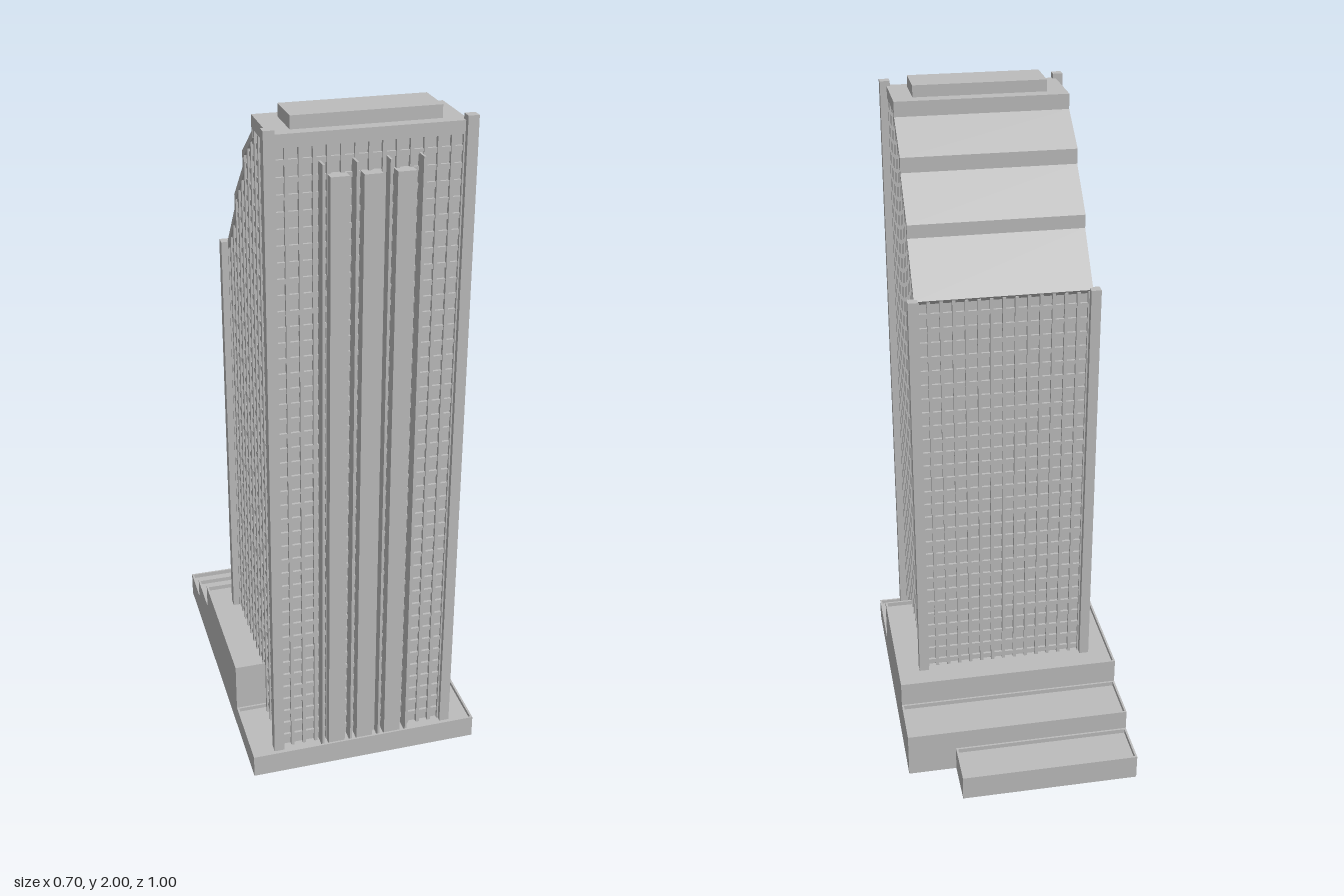
import * as THREE from 'three';
import { mergeGeometries } from 'three/addons/utils/BufferGeometryUtils.js';

// box given by its limits on each axis
function box(x0, x1, y0, y1, z0, z1) {
  return new THREE.BoxGeometry(x1 - x0, y1 - y0, z1 - z0)
    .translate((x0 + x1) / 2, (y0 + y1) / 2, (z0 + z1) / 2);
}

// side outline (z, y) extruded across x, centred
function across(points, width) {
  const shape = new THREE.Shape(points.map(([z, y]) => new THREE.Vector2(z, y)));
  return new THREE.ExtrudeGeometry(shape, { depth: width, bevelEnabled: false })
    .rotateY(-Math.PI / 2).translate(width / 2, 0, 0);
}

// hollow terrace: thin outer walls rising as a parapet around a roof slab
function terrace(x0, x1, z0, z1, h, lip = 0.014, t = 0.006) {
  return [
    box(x0, x0 + t, 0, h, z0, z1), box(x1 - t, x1, 0, h, z0, z1),
    box(x0 + t, x1 - t, 0, h, z0, z0 + t), box(x0 + t, x1 - t, 0, h, z1 - t, z1),
    box(x0 + t, x1 - t, h - lip - 0.008, h - lip, z0 + t, z1 - t),
  ];
}

const X = 0.26, FRONT = 0.46, BACK = -0.1, ROOF = 1.965, BASE = 0.05;
const INSET = 0.012;
// stepped, sloping crown from the flat roof down to the back wall
const crown = [[0.26, ROOF], [0.26, 1.92], [0.14, 1.835], [0.14, 1.79],
  [0.02, 1.675], [0.02, 1.635], [BACK, 1.49]];

// height of the crown above a given z
function topAt(z) {
  if (z >= 0.26) return ROOF;
  for (let i = 1; i < crown.length - 1; i += 2) {
    const [za, ya] = crown[i], [zb, yb] = crown[i + 1];
    if (z >= zb) return yb + (ya - yb) * (z - zb) / (za - zb);
  }
  return 1.49;
}

// rearmost z that is still under the crown at height y
function rearAt(y) {
  let z = FRONT;
  while (z - 0.004 >= BACK && topAt(z - 0.004) > y) z -= 0.004;
  return z;
}

export function createModel() {
  const model = new THREE.Group();
  model.name = 'officeTower';
  const concrete = new THREE.MeshStandardMaterial({ color: 0xbcbcbc });
  concrete.name = 'concrete grey';

  const add = (name, geometries) => {
    const flat = geometries.map((g) => (g.index ? g.toNonIndexed() : g));
    const mesh = new THREE.Mesh(mergeGeometries(flat), concrete);
    mesh.name = name;
    model.add(mesh);
  };

  // podium
  add('frontTerrace', terrace(-0.35, 0.35, 0.26, 0.5, 0.07, 0.012));
  add('mainTerrace', terrace(-0.35, 0.35, -0.2, 0.26, 0.225));
  add('middleTerrace', terrace(-0.35, 0.35, -0.36, -0.2, 0.145));
  add('lowTerrace', terrace(-0.35, 0.2, -0.5, -0.36, 0.08));

  // recessed glass line behind the facade grid
  const inner = [[FRONT - INSET, BASE], [FRONT - INSET, ROOF - 0.01], [0.262, ROOF - 0.01],
    ...crown.slice(1, -1).map(([z, y]) => [z + 0.002, y - 0.006]),
    [BACK + INSET, topAt(BACK + INSET) - 0.006], [BACK + INSET, BASE]];
  add('towerCore', [across(inner.reverse(), 2 * (X - INSET))]);

  // roof shell covering the full width
  const under = crown.map(([z, y]) => [z + 0.012, y - 0.014]).reverse();
  add('crownRoof', [across([...crown, ...under], 2 * X),
    box(-X, X, ROOF - 0.035, ROOF, 0.26, FRONT)]);
  add('roofHouse', [box(-0.2, 0.2, ROOF - 0.002, 2, 0.3, 0.425)]);

  // vertical mullions on all four sides
  const mullions = [];
  const w = 0.005;
  for (let i = 0; i <= 14; i++) {
    const x = -X + w + (2 * X - 2 * w) * i / 14;
    mullions.push(box(x - w, x + w, BASE, 1.485, BACK, BACK + INSET + 0.002));
    mullions.push(box(x - w, x + w, BASE, ROOF - 0.03, FRONT - INSET - 0.002, FRONT));
  }
  for (let i = 0; i <= 13; i++) {
    const z = BACK + w + (FRONT - BACK - 2 * w) * i / 13;
    const top = topAt(z - w) - 0.004;
    for (const s of [-1, 1]) {
      const a = s * X, b = s * (X - INSET - 0.002);
      mullions.push(box(Math.min(a, b), Math.max(a, b), BASE, top, z - w, z + w));
    }
  }
  add('mullions', mullions);

  // floor bands, set just behind the mullion faces
  const bands = [];
  const pitch = 0.045, d = 0.004;
  for (let y = 0.085; y < ROOF - 0.04; y += pitch) {
    const y1 = y + 0.014, rear = Math.max(rearAt(y1 + 0.004), BACK + d);
    bands.push(box(-X + d, X - d, y, y1, FRONT - INSET - 0.002, FRONT - d));
    if (y1 < 1.49) bands.push(box(-X + d, X - d, y, y1, BACK + d, BACK + INSET + 0.002));
    for (const s of [-1, 1]) {
      const a = s * (X - d), b = s * (X - INSET - 0.002);
      bands.push(box(Math.min(a, b), Math.max(a, b), y, y1, rear, FRONT - d));
    }
  }
  add('floorBands', bands);

  // corner piers
  const piers = [];
  for (const s of [-1, 1]) {
    const x = s * 0.265;
    piers.push(box(x - 0.015, x + 0.015, 0, 1.98, 0.445, 0.475));
    piers.push(box(x - 0.015, x + 0.015, 0, 1.495, -0.12, -0.09));
  }
  add('cornerPiers', piers);

  // front fins with projecting shafts between them
  add('frontFins', [-0.132, -0.044, 0.044, 0.132].map((x) =>
    box(x - 0.003, x + 0.003, BASE, 1.89, FRONT - 0.01, 0.494)));
  add('frontShafts', [-0.088, 0, 0.088].map((x) =>
    box(x - 0.025, x + 0.025, BASE, 1.855, FRONT - 0.01, 0.49)));

  return model;
}
